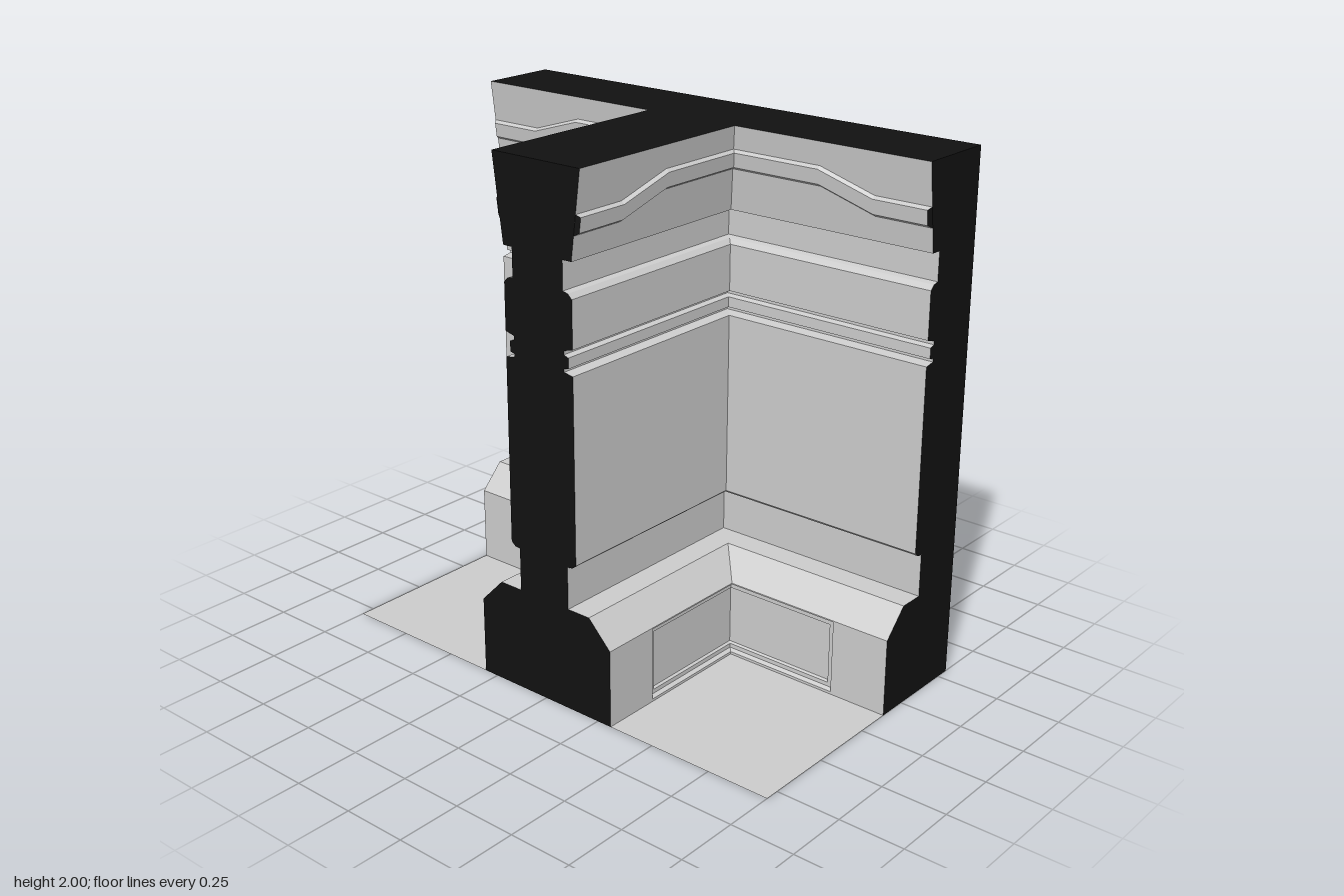
import * as THREE from 'three';

const END = -0.555, BACK = 0.555, HALF = 1, H = 2, MITRE = 0.445;

// Wall profile: [x of the surface, height]; the first two points are the plinth face
const PROFILE = [
  [0.135, 0], [0.135, 0.3], [0.232, 0.4], [0.33, 0.4], [0.33, 0.565], [0.308, 0.567],
  [0.29, 0.582], [0.29, 1.283], [0.33, 1.29], [0.33, 1.302], [0.31, 1.306], [0.31, 1.345],
  [0.33, 1.352], [0.33, 1.366], [0.29, 1.377], [0.29, 1.553], [0.308, 1.57], [0.33, 1.575],
  [0.33, 1.682], [0.29, 1.682], [0.248, 2],
];

const grey = new THREE.MeshStandardMaterial({ color: 0xcccccc, side: THREE.DoubleSide, flatShading: true });
const black = new THREE.MeshStandardMaterial({ color: 0x111111, side: THREE.DoubleSide, flatShading: true });

function addMesh(group, name, geometry, material) {
  const mesh = new THREE.Mesh(geometry, material);
  mesh.name = name;
  group.add(mesh);
  return mesh;
}

// Quads are corners [s along the wall, height, surface depth d].
// Each is placed on both wings of a corner room, on both sides of the cross wall.
function roomGeometry(quads) {
  const pos = [];
  for (const side of [1, -1]) {
    for (const wing of [0, 1]) {
      const place = ([s, y, d]) => wing ? [d, y, side * (MITRE - s)] : [s, y, side * (MITRE - d)];
      const flip = (wing === 1) !== (side < 0);
      for (const q of quads) {
        const [a, b, c, e] = (flip ? [...q].reverse() : q).map(place);
        pos.push(...a, ...b, ...c, ...a, ...c, ...e);
      }
    }
  }
  const g = new THREE.BufferGeometry();
  g.setAttribute('position', new THREE.Float32BufferAttribute(pos, 3));
  g.computeVertexNormals();
  return g;
}

// Mitred wall bands above the plinth
function wallQuads() {
  const quads = [];
  for (let i = 1; i < PROFILE.length - 1; i++) {
    const [d0, y0] = PROFILE[i], [d1, y1] = PROFILE[i + 1];
    quads.push([[END, y0, d0], [d0, y0, d0], [d1, y1, d1], [END, y1, d1]]);
  }
  return quads;
}

// Plinth face with a stepped recess that wraps round the corner
function plinthQuads() {
  const d = 0.135, s = -0.325, y0 = 0.01, y1 = 0.295;
  const quads = [
    [[END, 0, d], [s, 0, d], [s, 0.3, d], [END, 0.3, d]],
    [[s, 0, d], [d, 0, d], [d, y0, d], [s, y0, d]],
    [[s, y1, d], [d, y1, d], [d, 0.3, d], [s, 0.3, d]],
  ];
  const rings = [[0, d], [0.008, 0.15], [0.024, 0.15], [0.029, 0.16]].map(([inset, depth]) => [
    [s + inset, y0 + inset, depth], [depth, y0 + inset, depth],
    [depth, y1 - inset, depth], [s + inset, y1 - inset, depth],
  ]);
  for (let i = 0; i < rings.length - 1; i++) {
    const o = rings[i], n = rings[i + 1];
    quads.push([o[0], o[1], n[1], n[0]], [n[3], n[2], o[2], o[3]], [o[0], n[0], n[3], o[3]]);
  }
  quads.push(rings[rings.length - 1]);
  return quads;
}

// Bevelled trim that steps up towards the corner
function trimQuads() {
  const faceDepth = y => 0.29 - (y - 1.682) * 0.132;
  const path = [[END, 1.808], [-0.33, 1.808], [-0.11, 1.876], [null, 1.876]];
  const section = [[-0.037, 0], [-0.027, 0.015], [0.027, 0.015], [0.037, 0]];
  const rows = path.map(([s, y], i) => section.map(([dy, rise]) => {
    const d = faceDepth(y + dy) - rise;
    const along = s === null ? d : i === 0 && rise ? s + 0.01 : s;
    return [along, y + dy, d];
  }));
  const quads = [];
  for (let i = 0; i < rows.length - 1; i++) {
    for (let j = 0; j < 3; j++) {
      quads.push([rows[i][j], rows[i + 1][j], rows[i + 1][j + 1], rows[i][j + 1]]);
    }
  }
  return { quads, end: [rows[0]] };
}

function shapeOf(points) {
  return new THREE.ShapeGeometry(new THREE.Shape(points.map(([x, y]) => new THREE.Vector2(x, y))));
}

export function createModel() {
  const model = new THREE.Group();
  model.name = 'wallJunction';

  addMesh(model, 'wallPanelling', roomGeometry(wallQuads()), grey);
  addMesh(model, 'plinthPanels', roomGeometry(plinthQuads()), grey);
  const trim = trimQuads();
  addMesh(model, 'steppedTrim', roomGeometry(trim.quads), grey);
  addMesh(model, 'trimEnds', roomGeometry(trim.end), black);

  // Floors of the two rooms
  const [base] = PROFILE[0], inner = MITRE - base;
  for (const side of [1, -1]) {
    const floor = new THREE.PlaneGeometry(base - END, HALF - inner).rotateX(-Math.PI / 2);
    addMesh(model, 'floor', floor, grey).position.set((base + END) / 2, 0, side * (HALF + inner) / 2);
  }

  // Cut ends of the long wall
  const longEnd = [...PROFILE, [BACK, H], [BACK, 0]];
  addMesh(model, 'longWallEnd', shapeOf(longEnd).translate(0, 0, HALF), black);
  addMesh(model, 'longWallEnd', shapeOf(longEnd).rotateY(Math.PI).scale(-1, 1, 1).translate(0, 0, -HALF), black);

  // Cut end of the cross wall
  const half = PROFILE.map(([d, y]) => [MITRE - d, y]);
  const crossEnd = [...half, ...half.map(([z, y]) => [-z, y]).reverse()];
  addMesh(model, 'crossWallEnd', shapeOf(crossEnd).rotateY(-Math.PI / 2).translate(END, 0, 0), black);

  // T-shaped top and plain outer face; the underside stays open
  const top = PROFILE[PROFILE.length - 1][0], t = MITRE - top;
  const tee = [[END, -t], [top, -t], [top, -HALF], [BACK, -HALF], [BACK, HALF], [top, HALF], [top, t], [END, t]];
  addMesh(model, 'wallTop', shapeOf(tee).rotateX(-Math.PI / 2).translate(0, H, 0), black);
  const outer = new THREE.PlaneGeometry(2 * HALF, H).rotateY(Math.PI / 2);
  addMesh(model, 'outerFace', outer, black).position.set(BACK, H / 2, 0);

  return model;
}
